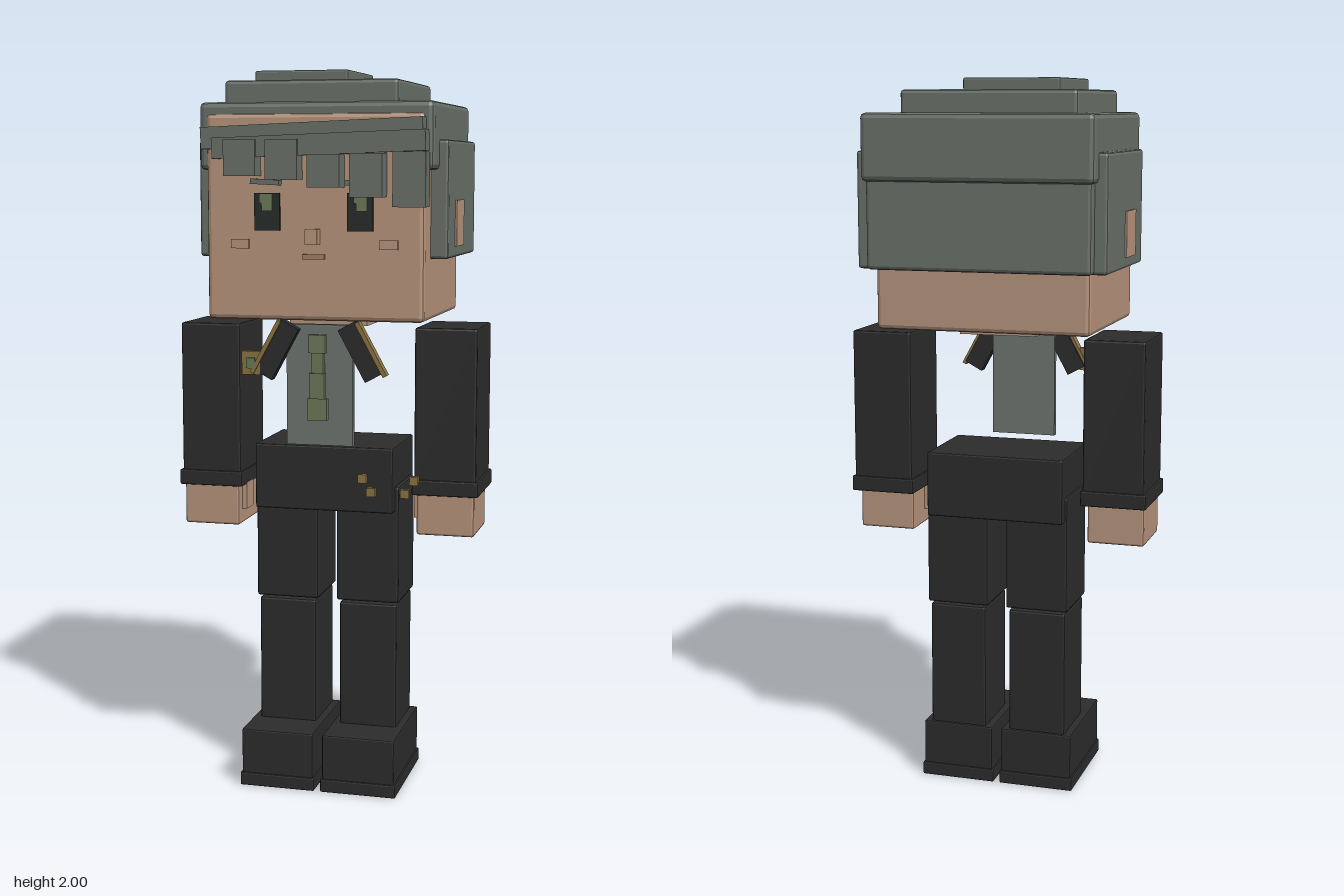
import * as THREE from 'three';
import { RoundedBoxGeometry } from 'three/addons/geometries/RoundedBoxGeometry.js';

const mat = (name, color) => Object.assign(new THREE.MeshStandardMaterial({ color }), { name });

export function createModel() {
  const hair = mat('hair grey', 0x6a716a);
  const skin = mat('skin', 0xb8957d);
  const cloth = mat('black cloth', 0x2c2c2d);
  const shirt = mat('shirt grey', 0x6d756f);
  const green = mat('tie green', 0x6b7a59);
  const gold = mat('gold', 0x8c7443);
  const eyeDark = mat('eye dark', 0x262b28);
  const lip = mat('lip', 0xa78069);

  const model = new THREE.Group();
  model.name = 'blockFigure';
  const group = (name) => {
    const g = new THREE.Group();
    g.name = name;
    model.add(g);
    return g;
  };

  // Box between two corners, with small chamfers when bevel > 0
  const box = (parent, name, material, x0, x1, y0, y1, z0, z1, bevel = 0, rot = 0) => {
    const size = [x1 - x0, y1 - y0, z1 - z0];
    const geo = bevel ? new RoundedBoxGeometry(...size, 1, bevel) : new THREE.BoxGeometry(...size);
    if (bevel) geo.computeVertexNormals();
    const mesh = new THREE.Mesh(geo, material);
    mesh.name = name;
    mesh.position.set((x0 + x1) / 2, (y0 + y1) / 2, (z0 + z1) / 2);
    mesh.rotation.z = rot;
    parent.add(mesh);
    return mesh;
  };
  // The same box on both sides of the body
  const pair = (parent, name, material, x0, x1, y0, y1, z0, z1, bevel = 0, rot = 0) => {
    box(parent, name + 'Left', material, x0, x1, y0, y1, z0, z1, bevel, rot);
    box(parent, name + 'Right', material, -x1, -x0, y0, y1, z0, z1, bevel, -rot);
  };

  // Head, neck and face
  const head = group('head');
  box(head, 'skull', skin, -0.3, 0.3, 1.33, 1.88, -0.24, 0.235, 0.012);
  box(head, 'neck', skin, -0.11, 0.11, 1.305, 1.335, -0.09, 0.085);
  box(head, 'nose', skin, -0.017, 0.017, 1.535, 1.575, 0.23, 0.27);
  box(head, 'mouth', lip, -0.03, 0.03, 1.495, 1.508, 0.236, 0.245);
  pair(head, 'cheek', skin, 0.18, 0.23, 1.522, 1.547, 0.236, 0.243);
  pair(head, 'eye', eyeDark, 0.093, 0.163, 1.57, 1.67, 0.236, 0.245);
  pair(head, 'brow', hair, 0.09, 0.17, 1.692, 1.706, 0.235, 0.26, 0, 0.05);
  for (const x of [-0.13, 0.13]) {
    box(head, 'irisUpper', green, x - 0.018, x + 0.018, 1.643, 1.668, 0.245, 0.249);
    box(head, 'irisLower', green, x - 0.012, x + 0.018, 1.622, 1.643, 0.245, 0.249);
  }

  // Hair blocks with stepped crown
  const hairGroup = group('hair');
  box(hairGroup, 'hairCap', hair, -0.322, 0.322, 1.73, 1.91, -0.293, 0.229, 0.014);
  box(hairGroup, 'crownLower', hair, -0.272, 0.213, 1.9, 1.97, -0.273, 0.16, 0.01);
  box(hairGroup, 'crownUpper', hair, -0.212, 0.053, 1.96, 2, -0.228, 0.07, 0.005);
  box(hairGroup, 'backHair', hair, -0.312, 0.312, 1.495, 1.74, -0.28, -0.2, 0.01);
  pair(hairGroup, 'sideHair', hair, 0.29, 0.348, 1.495, 1.81, -0.25, 0.153, 0.008);
  pair(hairGroup, 'ear', skin, 0.34, 0.353, 1.525, 1.65, -0.055, 0.055);

  // Fringe: tilted bar with uneven locks
  box(hairGroup, 'fringeBar', hair, -0.302, 0.302, 1.797, 1.855, 0.225, 0.277, 0, 0.04);
  box(hairGroup, 'fringeUnder', hair, -0.27, 0.31, 1.77, 1.825, 0.23, 0.282, 0, 0.035);
  [[-0.235, 1.715], [-0.12, 1.705], [-0.005, 1.685], [0.11, 1.66], [0.225, 1.635]].forEach(([x, y], i) =>
    box(hairGroup, 'fringeLock' + (i + 1), hair, x, x + 0.088, y, y > 1.7 ? 1.81 : 1.765 + i * 0.003, 0.235, 0.29));

  // Shirt front, tie and lapels
  const chest = group('chest');
  box(chest, 'shirtFront', shirt, -0.095, 0.092, 0.982, 1.315, 0.156, 0.174);
  [[0.024, 1.24, 1.29], [0.017, 1.185, 1.24], [0.021, 1.115, 1.185], [0.027, 1.055, 1.115]].forEach(([w, y0, y1], i) =>
    box(chest, 'tiePart' + (i + 1), green, -w, w, y0, y1, 0.189, 0.213 - (i % 2) * 0.006));
  pair(chest, 'lapel', cloth, 0.09, 0.146, 1.165, 1.325, 0.167, 0.198, 0, 0.5);
  pair(chest, 'lapelTrim', gold, 0.142, 0.154, 1.17, 1.335, 0.175, 0.204, 0, 0.5);
  box(chest, 'badge', gold, -0.216, -0.164, 1.175, 1.24, 0.18, 0.2);
  box(chest, 'badgeCentre', green, -0.202, -0.178, 1.193, 1.222, 0.2, 0.206);

  // Jacket buttons
  [[0.12, 0.895], [0.145, 0.858], [0.265, 0.895], [0.24, 0.858]].forEach(([x, y], i) =>
    box(chest, 'button' + (i + 1), gold, x - 0.012, x + 0.012, y - 0.012, y + 0.012, 0.167, 0.185));

  // Arms
  const arms = group('arms');
  pair(arms, 'sleeve', cloth, 0.25, 0.423, 0.88, 1.306, -0.113, 0.11, 0.006);
  pair(arms, 'cuff', cloth, 0.245, 0.43, 0.843, 0.886, -0.118, 0.117, 0.004);
  pair(arms, 'hand', skin, 0.257, 0.418, 0.73, 0.85, -0.08, 0.106, 0.006);
  pair(arms, 'thumb', skin, 0.244, 0.27, 0.772, 0.848, 0.01, 0.075);

  // Hips, legs and shoes
  const lower = group('lowerBody');
  box(lower, 'hips', cloth, -0.2, 0.195, 0.79, 0.973, -0.139, 0.132, 0.005);
  pair(lower, 'thigh', cloth, 0.027, 0.206, 0.528, 0.86, -0.106, 0.101, 0.006);
  pair(lower, 'shin', cloth, 0.035, 0.2, 0.16, 0.522, -0.1, 0.095, 0.006);
  pair(lower, 'shoe', cloth, 0.014, 0.22, 0.02, 0.165, -0.108, 0.214, 0.004);
  pair(lower, 'sole', cloth, 0.009, 0.225, 0, 0.038, -0.112, 0.218, 0.004);

  return model;
}
